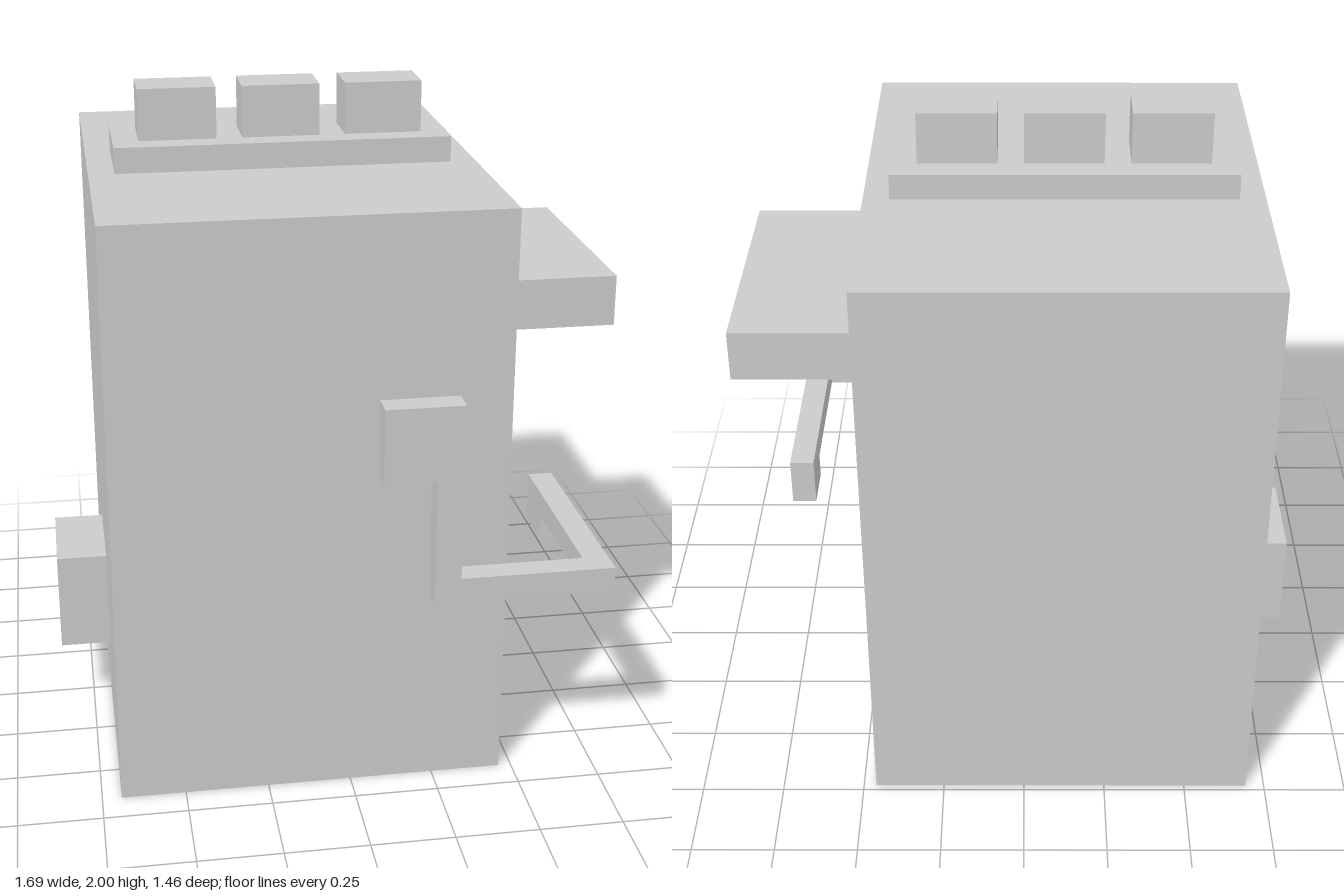
import * as THREE from 'three';
import { mergeGeometries } from 'three/addons/utils/BufferGeometryUtils.js';

// Everything is laid out on a whole-number grid, 26 cells tall
const CELL = 1 / 13;

const points = (pts) => pts.map(([a, b]) => new THREE.Vector2(a, b));

function makeShape(outline, holes = []) {
  const shape = new THREE.Shape(points(outline));
  holes.forEach((h) => shape.holes.push(new THREE.Path(points(h))));
  return shape;
}

const rect = (a0, b0, a1, b1) => [[a0, b0], [a1, b0], [a1, b1], [a0, b1]];

// Flat panel at a given depth, drawn facing +z
function panel(outline, holes, depth) {
  const g = new THREE.ShapeGeometry(makeShape(outline, holes)).toNonIndexed();
  g.deleteAttribute('uv');
  return g.translate(0, 0, depth);
}

// Walls around an anticlockwise outline; inward ones line a recess
function walls(outline, d0, d1, inward = false) {
  const loop = inward ? [...outline].reverse() : outline;
  const pos = [];
  loop.forEach(([a, b], i) => {
    const [c, d] = loop[(i + 1) % loop.length];
    pos.push(a, b, d0, c, d, d0, c, d, d1, a, b, d0, c, d, d1, a, b, d1);
  });
  const g = new THREE.BufferGeometry();
  g.setAttribute('position', new THREE.Float32BufferAttribute(pos, 3));
  g.computeVertexNormals();
  return g;
}

function extrude(outline, depth) {
  return new THREE.ExtrudeGeometry(makeShape(outline), { depth, bevelEnabled: false });
}

export function createModel() {
  const model = new THREE.Group();
  const material = new THREE.MeshStandardMaterial({ color: 0xcccccc, flatShading: true });

  function add(name, geometry) {
    const mesh = new THREE.Mesh(geometry.scale(CELL, CELL, CELL), material);
    mesh.name = name;
    model.add(mesh);
  }

  function box(name, [x0, x1], [y0, y1], [z0, z1]) {
    const g = new THREE.BoxGeometry(x1 - x0, y1 - y0, z1 - z0);
    add(name, g.translate((x0 + x1) / 2, (y0 + y1) / 2, (z0 + z1) / 2));
  }

  // Body: outlines are (-z, y) and depth runs along x after the turn
  const outer = rect(-8.5, 0, 9.5, 23);
  const slot = rect(-7.5, 16, 8.5, 17);
  const recess = [[-7.5, 3], [8.5, 3], [8.5, 10], [2.5, 10],
    [2.5, 14], [-1.5, 14], [-1.5, 10], [-7.5, 10]];
  const pocket = [[-5.5, 5], [-1.5, 5], [-1.5, 6], [2.5, 6],
    [2.5, 5], [6.5, 5], [6.5, 7], [-5.5, 7]];
  const back = panel(rect(-9.5, 0, 8.5, 23), [], 9).rotateY(Math.PI);
  const body = mergeGeometries([
    walls(outer, -9, 6),
    back,
    panel(outer, [slot, recess], 6),
    walls(slot, 5, 6, true),
    panel(slot, [], 5),
    walls(recess, 5, 6, true),
    panel(recess, [pocket], 5),
    walls(pocket, 4, 5, true),
    panel(pocket, [], 4),
  ]);
  add('body', body.rotateY(Math.PI / 2));

  // Shelf above the slot and block on the opposite side
  box('shelf', [6, 11], [17, 19], [-5.5, 4.5]);
  box('sideBlock', [-11, -9], [3, 7], [-2.5, 1.5]);

  // Top plate with its row of buttons
  box('topPlate', [-8, 5], [23, 24], [-2.5, 1.5]);
  [-7, -3, 1].forEach((x, i) => box(`button${i + 1}`, [x, x + 3], [24, 26], [-1.5, 0.5]));

  // Pipe: flat run on the front, then an arm returning beside the recess
  const run = [[1, 13], [3, 13], [3, 8], [10, 8], [10, 9], [4, 9], [4, 16], [1, 16]];
  add('pipeFront', extrude(run, 1).translate(0, 0, 8.5));
  const arm = [[-8.5, 8], [-2.5, 8], [-2.5, 7], [-0.5, 7], [-0.5, 9], [-8.5, 9]];
  add('pipeArm', extrude(arm, 1).rotateY(Math.PI / 2).translate(9, 0, 0));

  return model;
}
